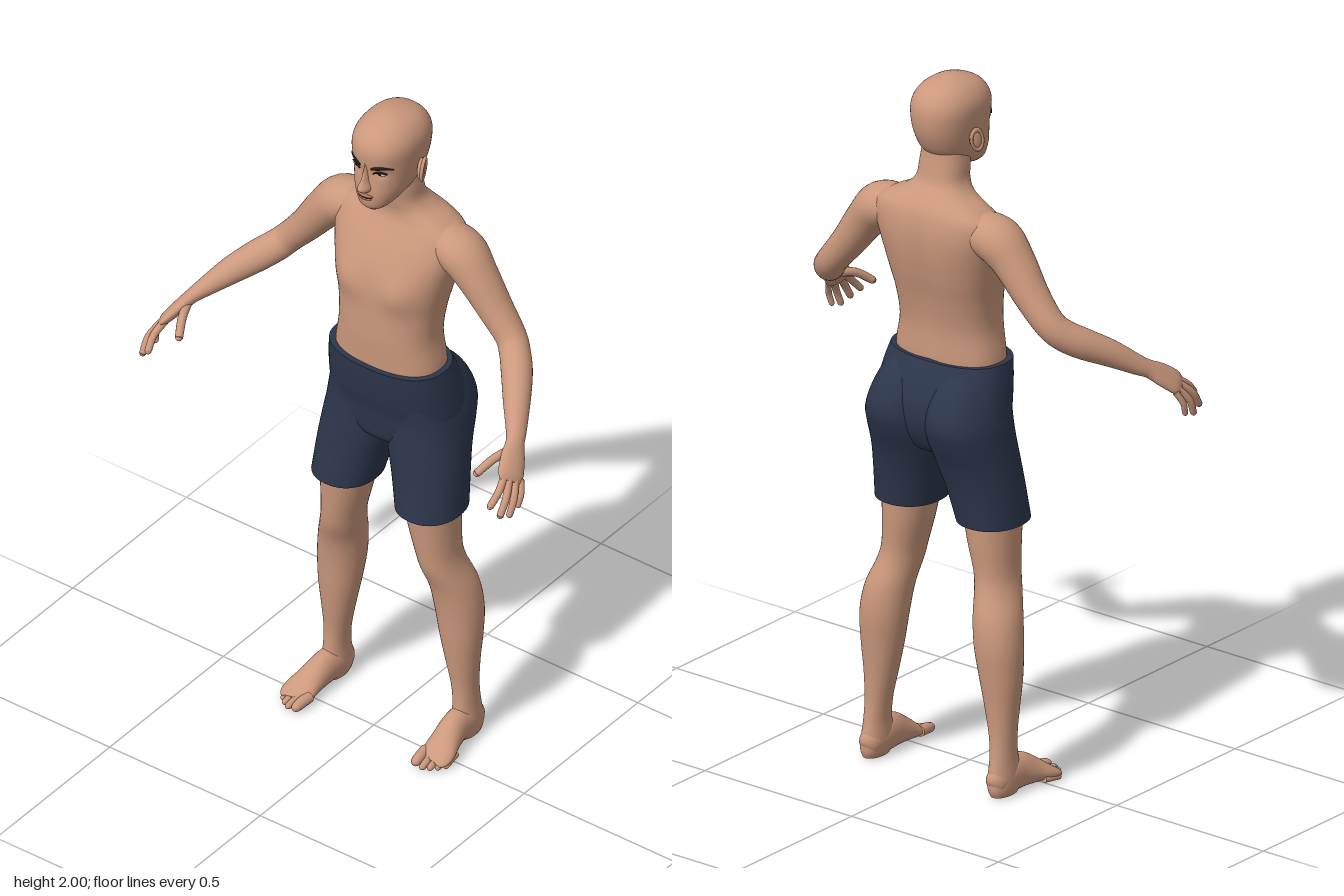
import * as THREE from 'three';

const mat = (name, color) => Object.assign(new THREE.MeshStandardMaterial({ color }), { name });
const V = (x, y, z) => new THREE.Vector3(x, y, z);
const bump = (d, s) => Math.exp(-(d * d) / (s * s));

// Smoothly interpolate a table of cross-sections at u in 0..1
function sample(rows, u) {
  const n = rows.length - 1, t = THREE.MathUtils.clamp(u, 0, 1) * n;
  const i = Math.min(Math.floor(t), n - 1), f = t - i;
  const p0 = rows[Math.max(i - 1, 0)], p1 = rows[i], p2 = rows[i + 1], p3 = rows[Math.min(i + 2, n)];
  return p1.map((b, k) => {
    const m1 = (p2[k] - p0[k]) / 2, m2 = (p3[k] - b) / 2, d = p2[k] - b;
    return b + f * (m1 + f * (3 * d - 2 * m1 - m2 + f * (m1 + m2 - 2 * d)));
  });
}

// Skin a stack of closed rings and cap both ends with a hard edge
function skin(ring, nu, nv) {
  const pos = [], idx = [];
  for (let i = 0; i <= nu; i++)
    for (let j = 0; j < nv; j++) pos.push(...ring(i / nu, (j / nv) * Math.PI * 2).toArray());
  for (let i = 0; i < nu; i++)
    for (let j = 0; j < nv; j++) {
      const k = (j + 1) % nv, a = i * nv + j, b = i * nv + k;
      idx.push(a, b, a + nv, b, b + nv, a + nv);
    }
  for (const end of [0, nu]) {
    const base = pos.length / 3, c = V(0, 0, 0);
    for (let j = 0; j < nv; j++) {
      const p = V().fromArray(pos, (end * nv + j) * 3);
      c.addScaledVector(p, 1 / nv);
      pos.push(...p.toArray());
    }
    pos.push(...c.toArray());
    for (let j = 0; j < nv; j++) {
      const a = base + j, b = base + (j + 1) % nv;
      idx.push(base + nv, ...(end ? [a, b] : [b, a]));
    }
  }
  const g = new THREE.BufferGeometry();
  g.setAttribute('position', new THREE.Float32BufferAttribute(pos, 3));
  g.setIndex(idx);
  g.computeVertexNormals();
  return g;
}

// Horizontal slices, bottom to top: [y, xMin, xMax, zBack, zFront]
function slices(rows, n = 2, deform = null, nv = 40) {
  const pw = v => Math.sign(v) * Math.abs(v) ** (2 / n);
  return skin((u, t) => {
    const [y, x0, x1, z0, z1] = sample(rows, u);
    const p = V((x0 + x1) / 2 + pw(Math.cos(t)) * (x1 - x0) / 2, y,
      (z0 + z1) / 2 - pw(Math.sin(t)) * (z1 - z0) / 2);
    if (deform) deform(p);
    return p;
  }, (rows.length - 1) * 5, nv);
}
const even = rows => rows.map(([y, w, z0, z1]) => [y, -w, w, z0, z1]);

// Limb along a path: [x, y, z, radius along ref, radius across]
function tube(rows, ref, nv = 24) {
  return skin((u, t) => {
    const s = sample(rows, u), a = sample(rows, u - 0.004), b = sample(rows, u + 0.004);
    const T = V(b[0] - a[0], b[1] - a[1], b[2] - a[2]).normalize();
    const U = ref.clone().addScaledVector(T, -ref.dot(T)).normalize();
    const W = T.clone().cross(U);
    return V(s[0], s[1], s[2]).addScaledVector(U, s[3] * Math.cos(t)).addScaledVector(W, s[4] * Math.sin(t));
  }, (rows.length - 1) * 5, nv);
}

// Finger or toe with a round tip
function digit(a, m, b, r) {
  const d = V(...b).sub(V(...m)).normalize();
  const tip = (k, s) => [...V(...b).addScaledVector(d, k * r).toArray(), r * s, r * s];
  return tube([[...a, r, r], [...m, r, r], tip(-0.6, 0.92), tip(0, 0.8), tip(0.45, 0.5), tip(0.6, 0.04)], V(0.7, 0.7, 0), 12);
}

const blob = (x, y, z, rx, ry, rz) => new THREE.SphereGeometry(1, 24, 16).scale(rx, ry, rz).translate(x, y, z);

function mirrored(g) {
  const m = g.clone().scale(-1, 1, 1), a = m.index.array;
  for (let i = 0; i < a.length; i += 3) [a[i], a[i + 1]] = [a[i + 1], a[i]];
  return m;
}

export function createModel() {
  const root = new THREE.Group();
  root.name = 'standingMan';
  const skinTone = mat('skin', 0xcb987c), navy = mat('navyCloth', 0x2c364c);
  const dark = mat('browHair', 0x231a18), white = mat('eyeWhite', 0xcfc4bc), lip = mat('lips', 0xa56f5d);
  const add = (name, g, m) => {
    const mesh = new THREE.Mesh(g, m);
    mesh.name = name;
    root.add(mesh);
  };
  const pair = (name, g, m) => {
    add(name + 'Left', g, m);
    add(name + 'Right', mirrored(g), m);
  };

  // Torso and neck, with chest muscles and a spine furrow
  add('torso', slices(even([
    [1.17, 0.162, -0.175, 0.02], [1.22, 0.161, -0.178, 0.022], [1.30, 0.147, -0.18, 0.026],
    [1.38, 0.152, -0.195, 0.024], [1.45, 0.166, -0.213, 0.022], [1.52, 0.182, -0.226, 0.01],
    [1.58, 0.195, -0.23, -0.015], [1.63, 0.19, -0.224, -0.042], [1.66, 0.15, -0.212, -0.056],
    [1.685, 0.1, -0.195, -0.058], [1.715, 0.073, -0.175, -0.052], [1.76, 0.067, -0.166, -0.045],
    [1.81, 0.06, -0.16, -0.04],
  ]), 2.4, p => {
    if (p.z > -0.09) p.z += 0.014 * bump(Math.abs(p.x) - 0.085, 0.05) * bump(p.y - 1.465, 0.05);
    else p.z += 0.013 * bump(p.x, 0.03) * bump(p.y - 1.4, 0.2);
  }, 64), skinTone);

  // Head with eye sockets
  add('head', slices(even([
    [1.728, 0.018, -0.015, 0.018], [1.745, 0.042, -0.065, 0.034], [1.77, 0.06, -0.125, 0.04],
    [1.80, 0.073, -0.165, 0.04], [1.84, 0.082, -0.188, 0.036], [1.88, 0.088, -0.199, 0.038],
    [1.92, 0.091, -0.2, 0.039], [1.95, 0.084, -0.19, 0.028], [1.975, 0.066, -0.168, 0.005],
    [1.99, 0.042, -0.135, -0.03], [1.998, 0.018, -0.1, -0.055], [2.0, 0.003, -0.08, -0.074],
  ]), 2.3, p => {
    if (p.z > -0.03) p.z -= 0.008 * bump(Math.abs(p.x) - 0.038, 0.02) * bump(p.y - 1.862, 0.014);
  }, 64), skinTone);

  // Face
  add('nose', slices(even([
    [1.796, 0.006, 0.02, 0.045], [1.803, 0.017, 0, 0.057], [1.815, 0.018, 0, 0.066],
    [1.835, 0.011, 0, 0.056], [1.86, 0.008, 0, 0.046], [1.888, 0.005, 0, 0.039],
  ]), 2, null, 24), skinTone);
  add('upperLip', blob(0, 1.787, 0.037, 0.025, 0.005, 0.012), lip);
  add('lowerLip', blob(0, 1.777, 0.036, 0.02, 0.0055, 0.012), lip);
  add('mouthLine', blob(0, 1.782, 0.037, 0.023, 0.0016, 0.0105), dark);
  const faceZ = x => -0.08 + 0.118 * (1 - (x / 0.088) ** 2.3) ** (1 / 2.3);
  const browLine = [[0.018, 1.877, 0.003], [0.032, 1.882, 0.0055], [0.05, 1.884, 0.005], [0.068, 1.878, 0.002]];
  pair('eyebrow', tube(browLine.map(([x, y, r]) => [x, y, faceZ(x) - 0.001, r, 0.004]), V(0, 1, 0), 12), dark);
  const lashLine = [[0.022, 1.862, 0.001], [0.037, 1.868, 0.0025], [0.056, 1.863, 0.0015]];
  pair('eyelashes', tube(lashLine.map(([x, y, r]) => [x, y, faceZ(x) - 0.004, r, 0.004]), V(0, 1, 0), 10), dark);
  pair('eye', blob(0.038, 1.861, 0.019, 0.015, 0.006, 0.007), white);
  pair('iris', blob(0.038, 1.862, 0.022, 0.0065, 0.006, 0.0055), dark);
  pair('ear', blob(0, 0, 0, 0.01, 0.033, 0.019).rotateX(-0.2).rotateY(0.35).translate(0.091, 1.837, -0.088), skinTone);
  pair('earRim', new THREE.TorusGeometry(0.02, 0.005, 10, 28).scale(0.85, 1.5, 1)
    .rotateY(Math.PI / 2 + 0.35).rotateX(-0.2).translate(0.097, 1.838, -0.09), skinTone);

  // Arms running into the palms
  pair('arm', tube([
    [0.06, 1.60, -0.13, 0.045, 0.06], [0.14, 1.60, -0.13, 0.056, 0.066], [0.20, 1.585, -0.126, 0.064, 0.07],
    [0.25, 1.535, -0.123, 0.056, 0.06], [0.31, 1.455, -0.123, 0.047, 0.05], [0.365, 1.39, -0.118, 0.042, 0.043],
    [0.395, 1.358, -0.098, 0.043, 0.042], [0.43, 1.33, -0.06, 0.043, 0.042], [0.475, 1.295, 0, 0.037, 0.037],
    [0.52, 1.253, 0.062, 0.025, 0.029], [0.537, 1.236, 0.09, 0.02, 0.027], [0.553, 1.215, 0.12, 0.018, 0.036],
    [0.572, 1.188, 0.155, 0.015, 0.039], [0.58, 1.175, 0.17, 0.008, 0.031],
  ], V(0.7, 0.7, 0), 32), skinTone);

  // Fingers and thumbs
  const fingers = {
    indexFinger: [[0.562, 1.195, 0.165], [0.573, 1.163, 0.208], [0.568, 1.128, 0.243], 0.0105],
    middleFinger: [[0.574, 1.185, 0.163], [0.593, 1.147, 0.203], [0.594, 1.103, 0.232], 0.0105],
    ringFinger: [[0.584, 1.175, 0.15], [0.602, 1.134, 0.181], [0.601, 1.09, 0.2], 0.01],
    littleFinger: [[0.591, 1.168, 0.135], [0.604, 1.135, 0.152], [0.602, 1.1, 0.163], 0.0085],
    thumb: [[0.537, 1.226, 0.105], [0.517, 1.215, 0.158], [0.494, 1.183, 0.204], 0.012],
  };
  for (const [name, f] of Object.entries(fingers)) pair(name, digit(...f), skinTone);

  // Shorts: hips plus two legs whose tops form the seat
  add('shortsHips', slices(even([
    [0.925, 0.04, -0.12, -0.06], [0.95, 0.11, -0.185, -0.01], [1.0, 0.19, -0.22, 0.003],
    [1.05, 0.199, -0.234, 0.01], [1.1, 0.196, -0.232, 0.022], [1.16, 0.188, -0.213, 0.032],
    [1.21, 0.178, -0.188, 0.037],
  ]), 2.4, null, 64), navy);
  pair('shortsLeg', slices([
    [0.757, 0.046, 0.231, -0.175, 0.03], [0.85, 0.024, 0.225, -0.192, 0.018], [0.93, 0.003, 0.217, -0.215, 0.01],
    [1.0, -0.004, 0.209, -0.246, 0.003], [1.05, 0, 0.203, -0.26, 0], [1.1, 0.005, 0.19, -0.25, 0.005],
    [1.15, 0.015, 0.172, -0.222, 0.008], [1.19, 0.03, 0.15, -0.185, 0],
  ], 2.2, null, 48), navy);

  // Legs from heel to thigh
  pair('leg', slices([
    [0.004, 0.192, 0.244, -0.172, -0.08], [0.025, 0.184, 0.25, -0.18, -0.07], [0.06, 0.182, 0.25, -0.178, -0.068],
    [0.11, 0.184, 0.246, -0.169, -0.078], [0.17, 0.177, 0.246, -0.164, -0.08], [0.25, 0.16, 0.252, -0.167, -0.071],
    [0.33, 0.143, 0.26, -0.175, -0.062], [0.42, 0.128, 0.261, -0.184, -0.054], [0.50, 0.119, 0.248, -0.178, -0.04],
    [0.57, 0.109, 0.223, -0.157, -0.016], [0.62, 0.1, 0.213, -0.15, -0.007], [0.70, 0.079, 0.212, -0.155, 0.002],
    [0.79, 0.06, 0.214, -0.16, 0.012],
  ], 2.1), skinTone);

  // Feet and toes
  pair('foot', tube([
    [0.216, 0.035, -0.178, 0.006, 0.01], [0.216, 0.04, -0.165, 0.027, 0.036], [0.216, 0.05, -0.12, 0.035, 0.049],
    [0.218, 0.052, -0.07, 0.036, 0.051], [0.224, 0.039, -0.02, 0.041, 0.037], [0.23, 0.026, 0.018, 0.047, 0.024],
    [0.231, 0.019, 0.042, 0.045, 0.016], [0.229, 0.017, 0.056, 0.03, 0.008],
  ], V(1, 0, 0), 32), skinTone);
  [[0.199, 0.082, 0.0155], [0.223, 0.084, 0.0105], [0.241, 0.074, 0.01], [0.257, 0.06, 0.0095], [0.27, 0.042, 0.009]]
    .forEach(([x, z, r], i) => pair('toe' + (i + 1),
      digit([x - 0.006, r + 0.008, z - 0.055], [x - 0.002, r + 0.005, z - 0.022], [x, r + 0.001, z], r), skinTone));

  return root;
}
